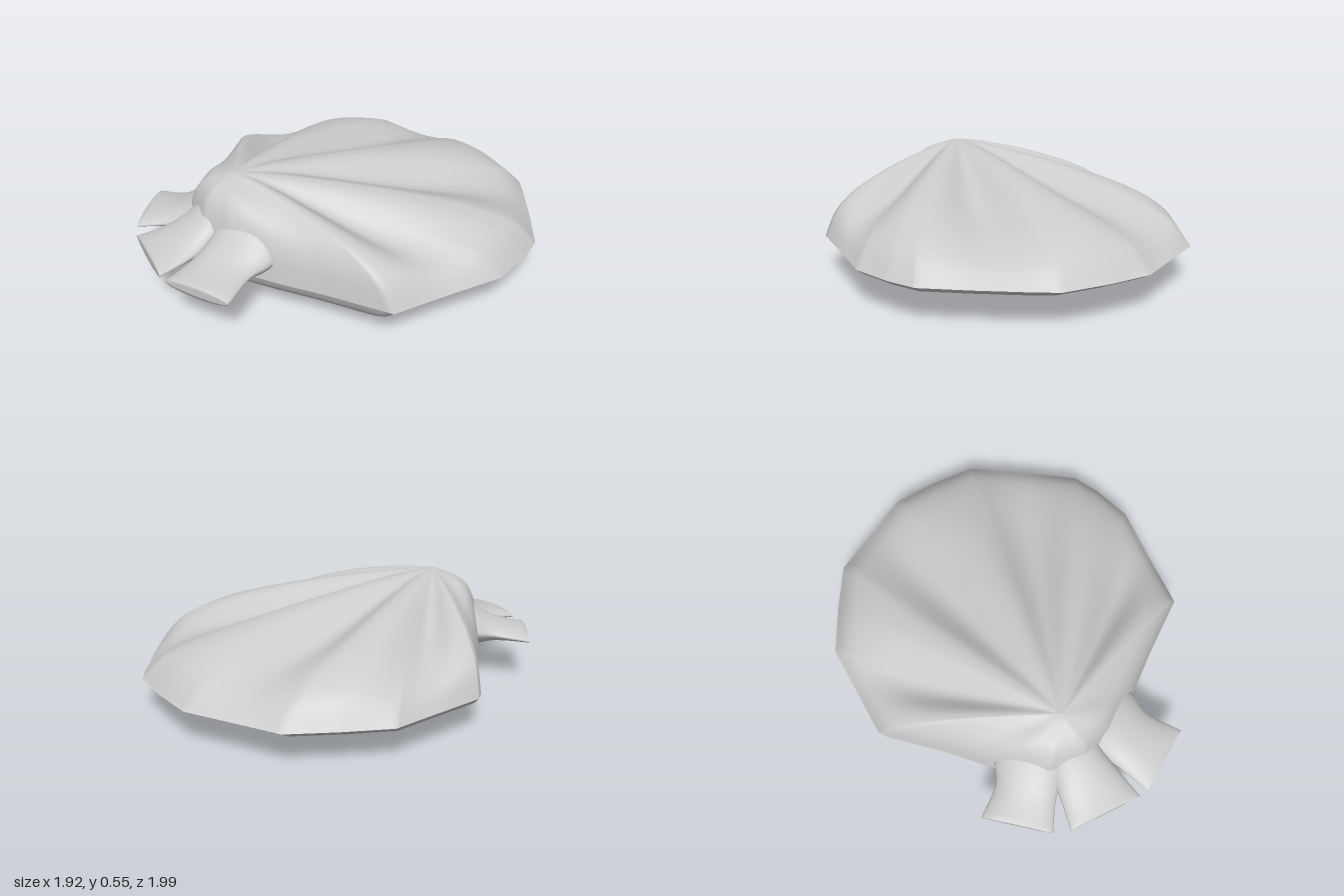
import * as THREE from 'three';

const material = new THREE.MeshStandardMaterial({ color: 0xcccccc });

// Surface through a stack of closed rings with equal point counts
function loft(name, rings, flip = false) {
  const n = rings[0].length, index = [];
  for (let k = 0; k < rings.length - 1; k++) {
    for (let i = 0; i < n; i++) {
      const j = (i + 1) % n;
      const a = k * n + i, b = k * n + j, c = a + n, d = b + n;
      if (flip) index.push(a, d, b, a, c, d);
      else index.push(a, b, d, a, d, c);
    }
  }
  const g = new THREE.BufferGeometry();
  g.setAttribute('position', new THREE.Float32BufferAttribute(rings.flat(2), 3));
  g.setIndex(index);
  g.computeVertexNormals();
  const mesh = new THREE.Mesh(g, material);
  mesh.name = name;
  return mesh;
}

// Rim corners in plan (x, z), clockwise from above
const corners = [
  [-0.12, -1], [0.12, -0.97], [0.37, -0.94], [0.56, -0.82], [0.74, -0.68], [0.79, -0.57],
  [0.88, -0.34], [0.96, -0.11], [0.94, 0.04], [0.88, 0.24], [0.7, 0.46], [0.52, 0.69],
  [0.2, 0.69], [-0.05, 0.7], [-0.3, 0.7], [-0.5, 0.65], [-0.66, 0.5], [-0.72, 0.2],
  [-0.75, 0], [-0.82, -0.32], [-0.82, -0.37], [-0.62, -0.68], [-0.55, -0.79], [-0.34, -0.9],
];
const SUB = 8;
const outline = corners.flatMap((p, i) => {
  const q = corners[(i + 1) % corners.length];
  return Array.from({ length: SUB }, (_, k) =>
    [p[0] + (q[0] - p[0]) * k / SUB, p[1] + (q[1] - p[1]) * k / SUB]);
});

const RIM = 0.175;
const { smoothstep } = THREE.MathUtils;
const spline = (pts) => new THREE.SplineCurve(pts.map(p => new THREE.Vector2(...p))).getPoints(36);

// One valve: rings scaled outward from its highest or lowest point
function valve(name, [cx, cz], profile, relief, flip) {
  const rings = spline(profile).map(({ x: s, y }) => outline.map(([x, z]) => {
    // Angle from the fan axis, wrapped to -180..180
    let angle = THREE.MathUtils.radToDeg(Math.atan2(x - cx, cz - z)) - 38;
    if (angle < -180) angle += 360;
    return [cx + s * (x - cx), y - relief(s, y, angle), cz + s * (z - cz)];
  }));
  return loft(name, rings, flip);
}

// Valleys between the five radiating ribs, 33 degrees apart; fuller flanks at the hinge
function ribRelief(s, y, angle) {
  const a = Math.abs(angle);
  if (a > 66) return -0.05 * Math.sin(Math.PI * s * s) * smoothstep(a, 68, 110);
  const wave = (1 - Math.cos(a / 33 * Math.PI * 2)) / 2;
  return 0.36 * (y - RIM) * wave ** 1.3 * smoothstep(s, 0, 0.75);
}

// Hinge tab: stations of [left xz, right xz, middle y, half thickness]
function tab(name, stations) {
  const N = 28;
  const at = (pick) => new THREE.CatmullRomCurve3(
    stations.map(s => new THREE.Vector3(...pick(s))), false, 'centripetal');
  const left = at(s => [s[0][0], s[2], s[0][1]]);
  const right = at(s => [s[1][0], s[2], s[1][1]]);
  const thickness = new THREE.SplineCurve(stations.map((s, i) => new THREE.Vector2(i, s[3])));
  const ring = (t, thin) => {
    const L = left.getPoint(t), R = right.getPoint(t);
    const half = thin * thickness.getPoint(t).y;
    return Array.from({ length: N }, (_, i) => {
      const a = i / N * Math.PI * 2, c = Math.cos(a), s = Math.sin(a);
      const p = L.clone().lerp(R, (1 + Math.sign(c) * Math.abs(c) ** 0.9) / 2);
      return [p.x, p.y + half * s * Math.abs(s) ** 0.3, p.z];
    });
  };
  const rings = [];
  for (let i = 0; i <= 18; i++) rings.push(ring(i / 18, 1));
  rings.push(ring(1, 0.5), ring(1, 0));
  return loft(name, rings);
}

export function createModel() {
  const group = new THREE.Group();
  group.name = 'scallopShell';

  // Ribbed upper valve and smooth lower valve
  group.add(valve('upperValve', [-0.4, 0.44],
    [[0, 0.55], [0.15, 0.538], [0.35, 0.505], [0.55, 0.46], [0.77, 0.39], [0.92, 0.3], [1, RIM]],
    ribRelief, false));
  group.add(valve('lowerValve', [-0.32, 0.34],
    [[0, 0], [0.25, 0.012], [0.55, 0.04], [0.77, 0.07], [0.92, 0.12], [1, RIM]],
    () => 0, true));

  // Three flared tabs at the hinge
  group.add(tab('rightHingeTab', [
    [[-0.53, 0.26], [-0.47, 0.52], 0.38, 0.12],
    [[-0.67, 0.22], [-0.61, 0.56], 0.28, 0.1],
    [[-0.78, 0.285], [-0.73, 0.585], 0.25, 0.055],
    [[-0.96, 0.3], [-0.87, 0.64], 0.235, 0.03],
  ]));
  group.add(tab('middleHingeTab', [
    [[-0.55, 0.43], [-0.36, 0.57], 0.38, 0.12],
    [[-0.64, 0.52], [-0.41, 0.69], 0.28, 0.1],
    [[-0.73, 0.62], [-0.46, 0.8], 0.25, 0.055],
    [[-0.82, 0.71], [-0.52, 0.94], 0.235, 0.03],
  ]));
  group.add(tab('leftHingeTab', [
    [[-0.4, 0.55], [-0.12, 0.55], 0.38, 0.12],
    [[-0.43, 0.67], [-0.07, 0.67], 0.28, 0.1],
    [[-0.445, 0.8], [-0.13, 0.8], 0.25, 0.055],
    [[-0.48, 0.96], [-0.13, 0.99], 0.235, 0.03],
  ]));
  return group;
}
